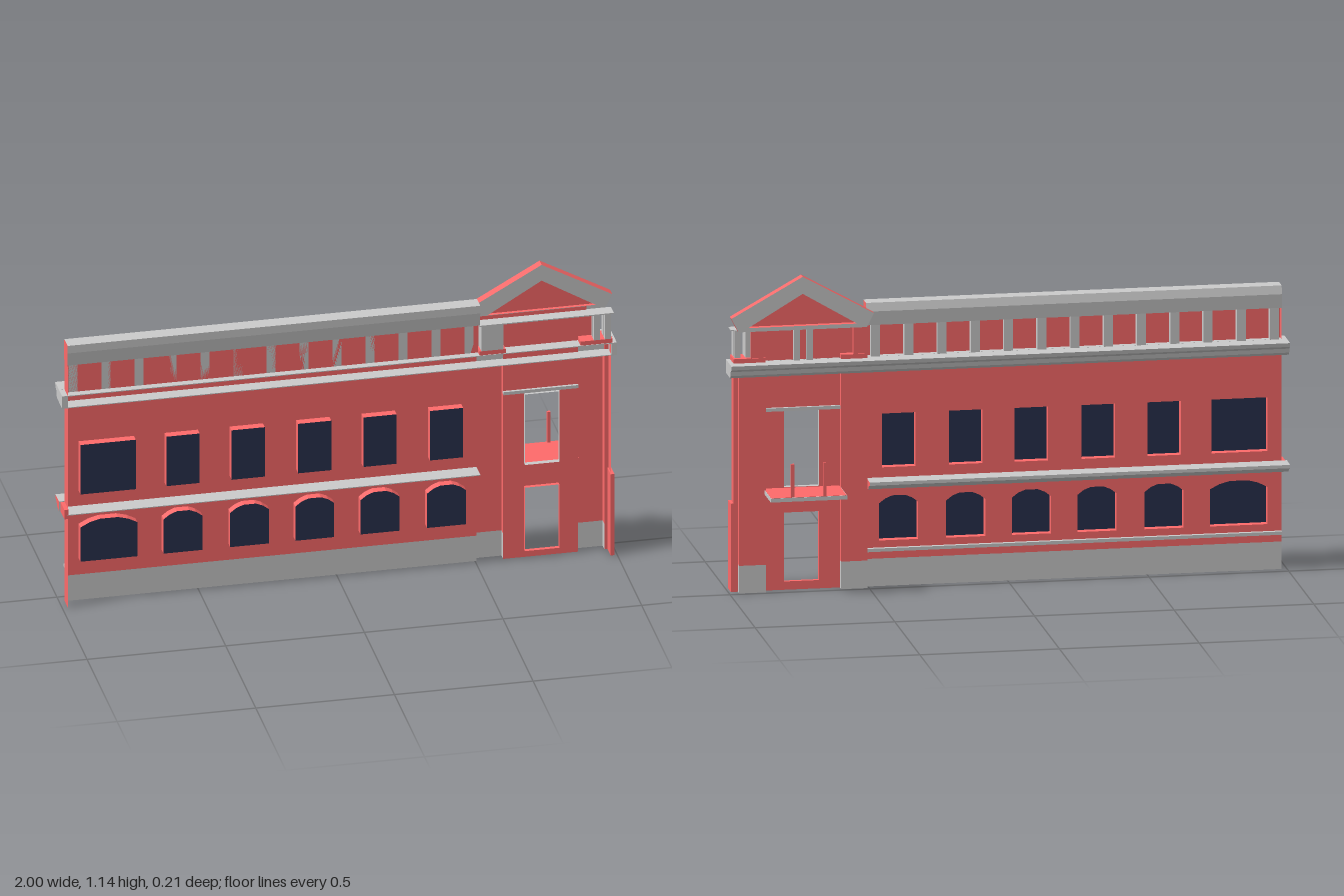
import * as THREE from 'three';

const mat = (color) => new THREE.MeshStandardMaterial({ color, side: THREE.DoubleSide, flatShading: true });
const red = mat(0xff6b6b), grey = mat(0xcccccc), glass = mat(0x28304d);

const WALL = 0.036, PIER = 0.013, PANE = 0.067, INNER = 0.087;

export function createModel() {
  const model = new THREE.Group();

  const add = (name, geometry, material) => {
    const mesh = new THREE.Mesh(geometry, material);
    mesh.name = name;
    model.add(mesh);
    return mesh;
  };
  const box = (name, m, x0, x1, y0, y1, z0, z1) =>
    add(name, new THREE.BoxGeometry(x1 - x0, y1 - y0, z1 - z0), m)
      .position.set((x0 + x1) / 2, (y0 + y1) / 2, (z0 + z1) / 2);
  const toPath = (pts, Type = THREE.Path) => new Type(pts.map((p) => new THREE.Vector2(p[0], p[1])));
  const rect = (x0, x1, y0, y1) => [[x0, y0], [x1, y0], [x1, y1], [x0, y1]];
  // Flat sheet in the x-y plane, with optional openings
  const sheet = (name, m, outline, z, holes = []) => {
    const shape = toPath(outline, THREE.Shape);
    holes.forEach((h) => shape.holes.push(toPath(h)));
    add(name, new THREE.ShapeGeometry(shape), m).position.z = z;
  };
  // Flat sheet in the y-z plane
  const side = (name, m, x, y0, y1, z0, z1) => {
    const mesh = add(name, new THREE.PlaneGeometry(z1 - z0, y1 - y0), m);
    mesh.rotation.y = Math.PI / 2;
    mesh.position.set(x, (y0 + y1) / 2, (z0 + z1) / 2);
  };
  // Band that follows an opening's outline through the wall depth
  const reveal = (name, m, outline, z0, z1) => {
    const v = [];
    outline.forEach((a, i) => {
      const b = outline[(i + 1) % outline.length];
      v.push(a[0], a[1], z0, b[0], b[1], z0, b[0], b[1], z1);
      v.push(a[0], a[1], z0, b[0], b[1], z1, a[0], a[1], z1);
    });
    const g = new THREE.BufferGeometry();
    g.setAttribute('position', new THREE.Float32BufferAttribute(v, 3));
    g.computeVertexNormals();
    add(name, g, m);
  };
  // Moulding: a [z, y] profile swept along x
  const moulding = (name, profile, x0, x1, endMaterial = grey) => {
    const shape = toPath(profile.map(([z, y]) => [-z, y]), THREE.Shape);
    const g = new THREE.ExtrudeGeometry(shape, { depth: x1 - x0, bevelEnabled: false });
    g.rotateY(Math.PI / 2);
    const mesh = add(name, g, [endMaterial, grey]);
    mesh.position.x = x0;
  };

  // Windows: rectangular upstairs, shallow arches downstairs
  const upper = [[-0.93, -0.73], [-0.62, -0.5], [-0.385, -0.265], [-0.145, -0.025], [0.09, 0.21], [0.33, 0.45]]
    .map(([a, b]) => rect(a, b, 0.43, 0.625));
  const lower = [[-0.93, -0.725], [-0.63, -0.49], [-0.39, -0.25], [-0.155, -0.015], [0.08, 0.22], [0.32, 0.46]]
    .map(([a, b]) => {
      const w = b - a;
      return [[a, 0.165], [b, 0.165], [b, 0.3], [b - w * 0.16, 0.317], [b - w * 0.34, 0.327],
        [a + w * 0.34, 0.327], [a + w * 0.16, 0.317], [a, 0.3]];
    });
  const windows = [...upper, ...lower];
  windows.forEach((w) => {
    reveal('windowReveal', red, w, WALL, PANE);
    sheet('windowPane', glass, w, PANE);
  });

  // Long wing wall, plinth and end return
  sheet('wingWall', red, rect(-0.98, 0.505, 0.1, 0.83), WALL, windows);
  sheet('wingPlinth', grey, rect(-0.98, 0.505, 0, 0.1), WALL);
  side('wingEndWall', red, -0.98, 0, 0.95, WALL, INNER);
  box('stringCourse', grey, -0.98, 0.505, 0.128, 0.14, 0.02, WALL - 0.001);

  // Ledge between the floors
  moulding('floorLedge', [[WALL - 0.001, 0.355], [0.005, 0.36], [-0.01, 0.375], [-0.028, 0.38],
    [-0.028, 0.392], [WALL - 0.001, 0.394]], -1, 0.505, red);
  box('floorLedgeShelf', grey, -0.985, 0.505, 0.368, 0.371, WALL, 0.1);
  box('floorLedgeReturn', red, -0.995, -0.98, 0.355, 0.392, WALL, 0.1);

  // Main cornice along the full length, with inner shelves
  moulding('cornice', [[WALL - 0.001, 0.785], [0.0, 0.785], [-0.01, 0.795], [-0.012, 0.81],
    [-0.028, 0.82], [-0.03, 0.834], [WALL - 0.001, 0.834]], -1, 1);
  box('corniceReturn', grey, -1, -0.98, 0.785, 0.834, WALL, INNER);
  box('corniceReturn', grey, 0.98, 1, 0.785, 0.834, WALL, INNER);
  [0.785, 0.831].forEach((y) => box('corniceShelf', grey, -0.98, 0.98, y, y + 0.003, WALL, INNER));

  // Parapet with small piers and a coping
  sheet('parapetWall', red, rect(-0.98, 0.505, 0.834, 0.95), 0.06);
  for (let i = 0; i < 13; i++) {
    const x = -0.955 + i * 0.119;
    box('parapetPier', grey, x - 0.016, x + 0.016, 0.834, 0.95, 0.032, 0.06);
  }
  moulding('coping', [[0.025, 0.95], [0.08, 0.95], [0.085, 1.0], [0.085, 1.03], [0.03, 1.03], [0.022, 1.0]],
    -0.98, 0.508, red);

  // Entrance bay: two piers and a recessed centre with two doorways
  [[0.505, 0.6], [0.87, 0.965]].forEach(([a, b]) => {
    sheet('pierWall', red, rect(a, b, 0.1, 0.83), PIER);
    sheet('pierPlinth', grey, rect(a, b, 0, 0.1), PIER);
    [a, b].forEach((x) => {
      side('pierSide', red, x, 0.1, 0.83, PIER, 0.04);
      side('pierPlinthSide', grey, x, 0, 0.1, PIER, 0.04);
    });
  });
  const doors = [rect(0.675, 0.8, 0.03, 0.28), rect(0.675, 0.8, 0.372, 0.65)];
  sheet('entranceWall', red, rect(0.6, 0.87, 0, 0.83), 0.04, doors);
  reveal('lowerDoorReveal', red, doors[0], 0.04, 0.055);
  reveal('upperDoorReveal', grey, doors[1], 0.04, 0.06);
  box('doorLintel', grey, 0.6, 0.87, 0.65, 0.662, 0.03, 0.05);
  sheet('cornerWall', red, rect(0.965, 0.98, 0, 0.83), 0.04);
  side('entranceEndWall', red, 0.98, 0.1, 0.83, 0.04, 0.085);
  side('entranceEndPlinth', grey, 0.98, 0, 0.1, 0.04, 0.085);
  box('cornerButtress', red, 0.976, 0.99, 0, 0.32, 0.04, 0.094);

  // Balcony with two posts
  box('balconySlab', red, 0.602, 0.872, 0.357, 0.37, -0.108, 0.04);
  box('balconyEdge', grey, 0.6, 0.874, 0.355, 0.369, -0.11, -0.106);
  [0.6, 0.872].forEach((x) => box('balconySideEdge', grey, x, x + 0.002, 0.355, 0.369, -0.11, 0.012));
  [0.675, 0.79].forEach((x) => box('balconyPost', red, x, x + 0.011, 0.37, 0.49, -0.11, -0.099));

  // Attic above the entrance
  sheet('atticWall', red, rect(0.505, 0.9, 0.834, 0.965), 0.04);
  box('atticBase', red, 0.505, 0.6, 0.834, 0.85, 0.014, 0.085);
  box('atticBase', red, 0.87, 0.985, 0.834, 0.85, 0.014, 0.085);
  box('atticPier', grey, 0.512, 0.592, 0.85, 0.948, 0.041, 0.085);
  [0.505, 0.872].forEach((x) => box('atticPilaster', red, x, x + 0.05, 0.85, 0.95, 0.018, 0.04));
  [0.7, 0.745].forEach((x) => box('atticPilaster', grey, x, x + 0.022, 0.834, 0.95, 0.022, 0.039));
  [0.918, 0.957].forEach((x) => [0.03, 0.062].forEach((z) =>
    box('atticColumn', grey, x, x + 0.022, 0.85, 0.948, z, z + 0.023)));
  box('atticTop', grey, 0.505, 0.99, 0.947, 0.951, 0.036, 0.085);

  // Pediment
  const gable = toPath([[0.51, 0.95], [0.97, 0.95], [0.995, 1.0], [0.74, 1.142], [0.485, 1.0]], THREE.Shape);
  gable.holes.push(toPath([[0.545, 0.964], [0.74, 1.08], [0.935, 0.964]]));
  add('pedimentFrame', new THREE.ExtrudeGeometry(gable, { depth: 0.035, bevelEnabled: false }), [grey, red]);
  sheet('pedimentPanel', red, [[0.54, 0.96], [0.94, 0.96], [0.74, 1.085]], 0.022);

  return model;
}
